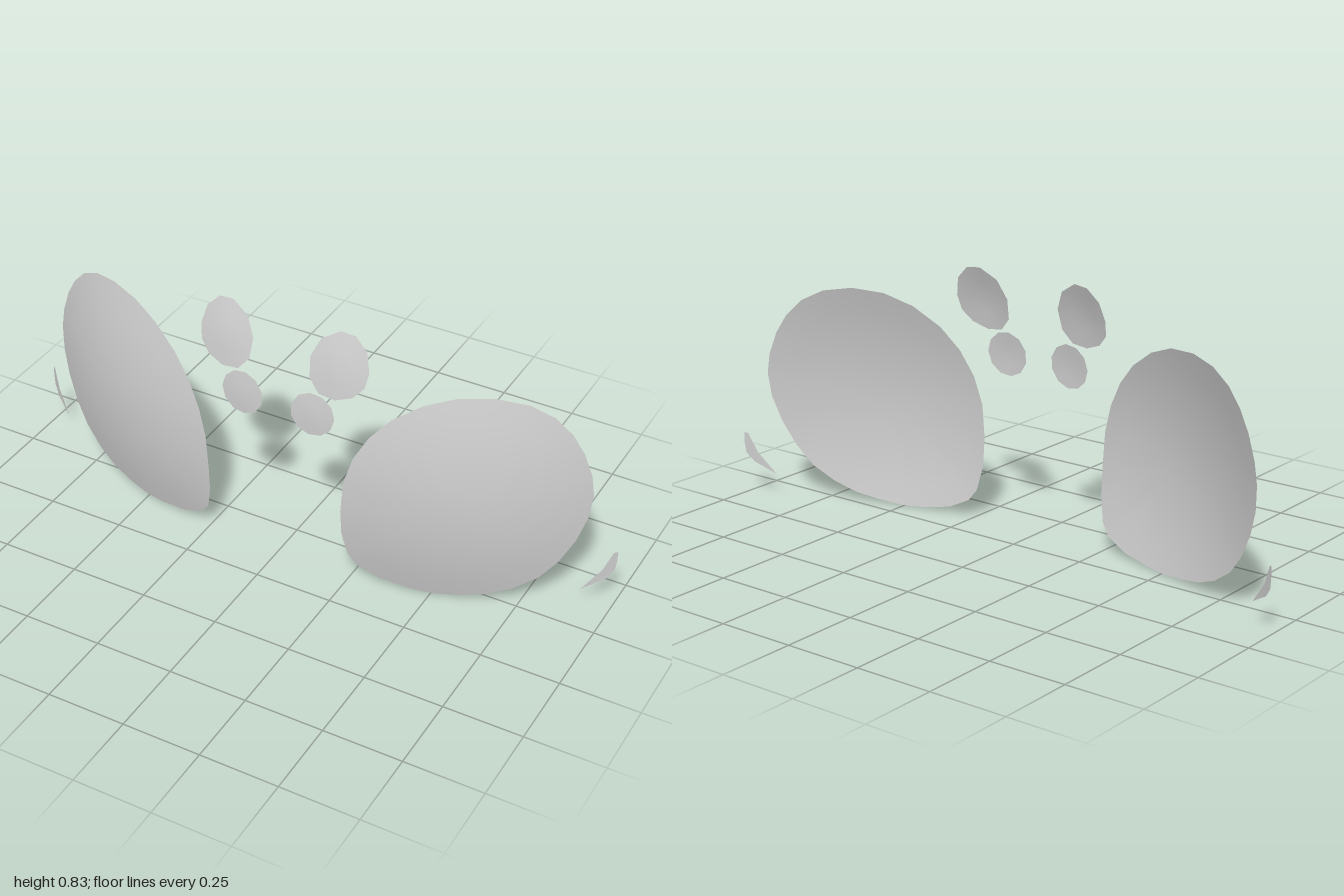
import * as THREE from 'three';

const material = new THREE.MeshStandardMaterial({ color: 0xcccccc, side: THREE.DoubleSide });

// Thin curved patch: rings shrink from the outline to the centre, depth(x, y) bends it.
// The outline runs counter-clockwise on the +x side; side = -1 mirrors it.
function patch(name, outline, [cx, cy], depth, rings, side) {
  const n = outline.length, pos = [], index = [];
  const add = (x, y) => pos.push(side * x, y, depth(x, y));
  const tri = (a, b, c) => (side > 0 ? index.push(a, b, c) : index.push(a, c, b));
  add(cx, cy);
  for (let r = 1; r <= rings; r++) {
    const t = r / rings;
    for (const [x, y] of outline) add(cx + (x - cx) * t, cy + (y - cy) * t);
  }
  for (let i = 0; i < n; i++) {
    const j = (i + 1) % n;
    tri(0, 1 + i, 1 + j);
    for (let r = 1; r < rings; r++) {
      const a = 1 + (r - 1) * n, b = a + n;
      tri(a + i, b + i, b + j);
      tri(a + i, b + j, a + j);
    }
  }
  const geometry = new THREE.BufferGeometry();
  geometry.setAttribute('position', new THREE.Float32BufferAttribute(pos, 3));
  geometry.setIndex(index);
  geometry.computeVertexNormals();
  const mesh = new THREE.Mesh(geometry, material);
  mesh.name = name;
  return mesh;
}

// Large rounded patch
const largeOutline = [
  [0.922, 0.41], [0.912, 0.475], [0.885, 0.55], [0.85, 0.61], [0.8, 0.663], [0.73, 0.7],
  [0.64, 0.715], [0.54, 0.705], [0.45, 0.67], [0.365, 0.61], [0.305, 0.54], [0.262, 0.46],
  [0.236, 0.37], [0.228, 0.26], [0.229, 0.17], [0.245, 0.09], [0.272, 0.053], [0.34, 0.02],
  [0.44, 0.003], [0.51, 0], [0.59, 0.01], [0.66, 0.025], [0.73, 0.055], [0.8, 0.105],
  [0.85, 0.17], [0.89, 0.25], [0.915, 0.33],
];
const largeDepth = (x, y) => {
  const d = x - 0.2;
  return 0.147 - 0.36 * d * d - 0.16 * d ** 3 - 0.42 * (y - 0.31) ** 2;
};

// Upper oval spot
const upperOutline = [
  [0.28, 0.73], [0.265, 0.79], [0.225, 0.829], [0.178, 0.834], [0.122, 0.8], [0.095, 0.74],
  [0.101, 0.675], [0.135, 0.635], [0.188, 0.629], [0.24, 0.648], [0.272, 0.683],
];
const upperDepth = (x, y) =>
  0.097 - 0.26 * (y - 0.73) - 0.08 * (x - 0.185) - 1.2 * (x - 0.185) ** 2 - 0.8 * (y - 0.73) ** 2;

// Lower round spot
const lowerOutline = Array.from({ length: 11 }, (_, i) => {
  const a = (i / 11) * Math.PI * 2;
  return [0.118 + 0.071 * Math.cos(a), 0.559 + 0.071 * Math.sin(a)];
});
const lowerDepth = (x, y) =>
  0.125 - 0.08 * (y - 0.56) - 0.06 * (x - 0.118) - 0.8 * ((x - 0.118) ** 2 + (y - 0.56) ** 2);

// Narrow crescent at the outer side
const crescentOutline = [
  [1, 0.205], [0.99, 0.202], [0.965, 0.138], [0.912, 0.065], [0.975, 0.105], [0.996, 0.135], [1, 0.17],
];
const crescentDepth = (x) => -0.09 - 0.45 * (x - 0.91) - 1.6 * (x - 0.91) ** 2;

export function createModel() {
  const model = new THREE.Group();
  model.name = 'curvedPatches';
  for (const side of [1, -1]) {
    const label = side > 0 ? 'left' : 'right';
    model.add(
      patch(label + 'LargePatch', largeOutline, [0.57, 0.36], largeDepth, 5, side),
      patch(label + 'UpperSpot', upperOutline, [0.187, 0.731], upperDepth, 2, side),
      patch(label + 'LowerSpot', lowerOutline, [0.118, 0.559], lowerDepth, 2, side),
      patch(label + 'Crescent', crescentOutline, [0.977, 0.136], crescentDepth, 1, side),
    );
  }
  return model;
}
